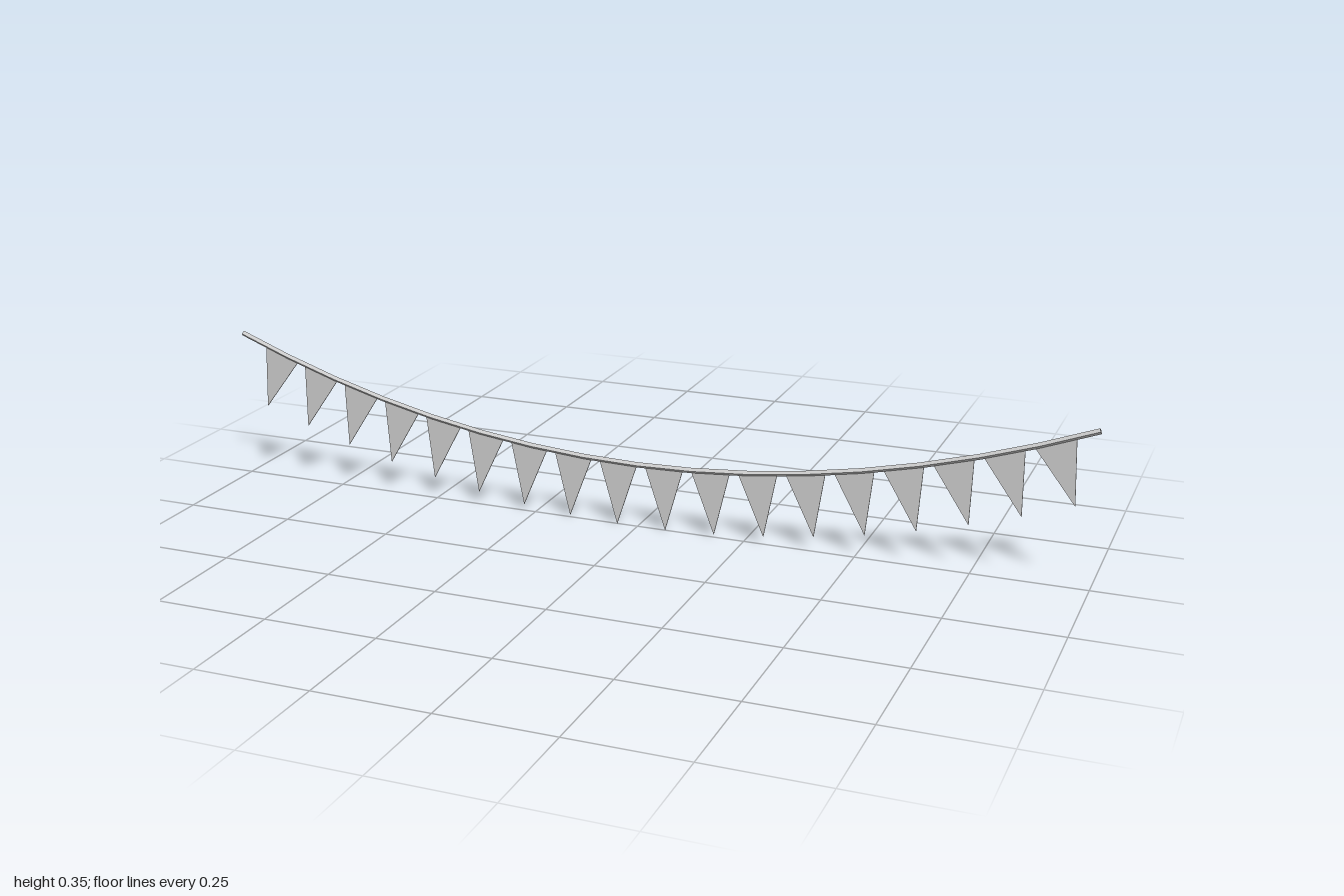
import * as THREE from 'three';

// Sagging line of the rope: y = 0.146 + 0.2 x^2
class SagCurve extends THREE.Curve {
  getPoint(t, target = new THREE.Vector3()) {
    const x = 2 * t - 1;
    return target.set(x * 0.998, 0.146 + 0.2 * x * x, 0);
  }
}

export function createModel() {
  const group = new THREE.Group();
  group.name = 'pennantBunting';
  const material = new THREE.MeshStandardMaterial({
    color: 0xcccccc, side: THREE.DoubleSide, flatShading: true,
  });
  const curve = new SagCurve();

  // Four-sided rope in straight runs
  const rope = new THREE.Mesh(new THREE.TubeGeometry(curve, 16, 0.0063, 4), material);
  rope.name = 'rope';
  group.add(rope);

  // Thin triangular flags hanging square to the rope
  const flagCount = 18, halfWidth = 0.045, thickness = 0.0025;
  for (let i = 0; i < flagCount; i++) {
    const u = 0.054 + (0.9 * i) / (flagCount - 1);
    const p = curve.getPointAt(u);
    const t = curve.getTangentAt(u);
    const length = 0.146 - 0.005 * Math.abs(p.x);
    const shape = new THREE.Shape([
      new THREE.Vector2(-halfWidth, 0),
      new THREE.Vector2(0, -length),
      new THREE.Vector2(halfWidth, 0),
    ]);
    const geometry = new THREE.ExtrudeGeometry(shape, { depth: thickness, bevelEnabled: false });
    geometry.translate(0, 0, -thickness / 2);
    const flag = new THREE.Mesh(geometry, material);
    flag.name = `flag${i + 1}`;
    flag.position.set(p.x, p.y, -0.0005);
    flag.rotation.z = Math.atan2(t.y, t.x);
    group.add(flag);
  }
  return group;
}
